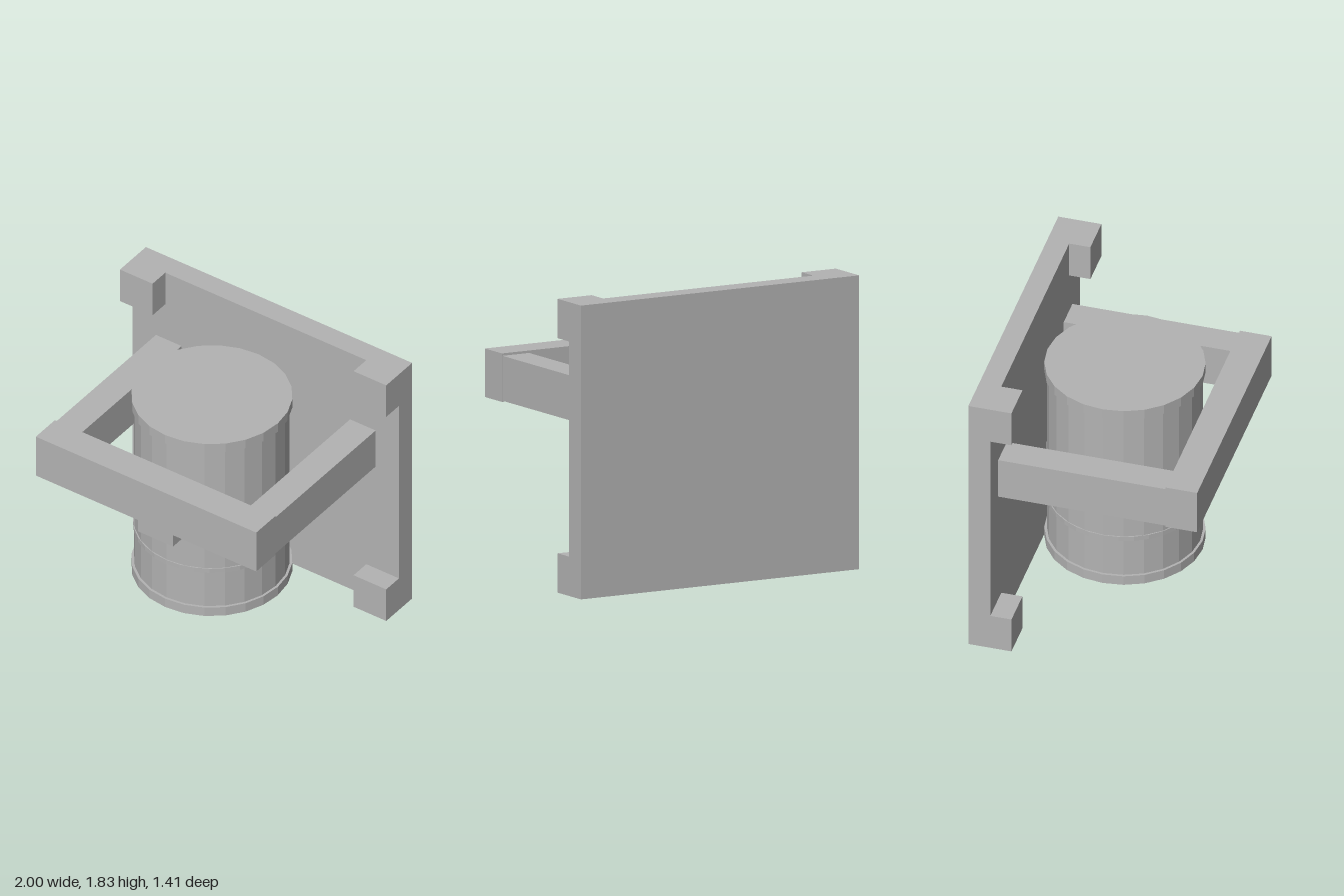
import * as THREE from 'three';

export function createModel() {
  const model = new THREE.Group();
  const grey = new THREE.MeshStandardMaterial({ color: 0xb3b3b3, flatShading: true });
  grey.name = 'plain grey';

  const add = (name, geometry) => {
    const mesh = new THREE.Mesh(geometry, grey);
    mesh.name = name;
    model.add(mesh);
    return mesh;
  };
  // Box given by its lower and upper limits on each axis
  const box = (name, x0, x1, y0, y1, z0, z1) =>
    add(name, new THREE.BoxGeometry(x1 - x0, y1 - y0, z1 - z0))
      .position.set((x0 + x1) / 2, (y0 + y1) / 2, (z0 + z1) / 2);
  // Upright cylinder on the barrel's axis
  const drum = (name, radius, y0, y1, sides = 24) =>
    add(name, new THREE.CylinderGeometry(radius, radius, y1 - y0, sides))
      .position.set(0, (y0 + y1) / 2, 0.007);

  // Back plate with a spacer block in each corner
  box('backPlate', -1, 1, 0, 1.83, -0.705, -0.565);
  for (const x of [-1, 0.755]) {
    for (const y of [0, 1.585]) {
      box('cornerBlock', x, x + 0.245, y, y + 0.245, -0.565, -0.43);
    }
  }

  // Barrel with end rims and two thin hoops
  drum('barrelBody', 0.479, 0.3, 1.54);
  drum('bottomRim', 0.495, 0.25, 0.315);
  drum('topRim', 0.495, 1.52, 1.585);
  for (const y of [0.577, 0.904]) drum('hoop', 0.484, y, y + 0.032, 32);

  // Frame around the barrel
  box('frontBar', -0.828, 0.828, 1.028, 1.33, 0.503, 0.705);
  for (const side of [-1, 1]) {
    const x = side * 0.729;
    box('sideArm', x - 0.096, x + 0.096, 1.035, 1.315, -0.565, 0.54);
  }

  // Latch box under the front bar, with a small pin
  box('latchBox', -0.132, 0.132, 0.845, 1.03, 0.467, 0.605);
  box('latchPin', -0.075, 0.075, 0.836, 0.85, 0.52, 0.54);

  return model;
}
